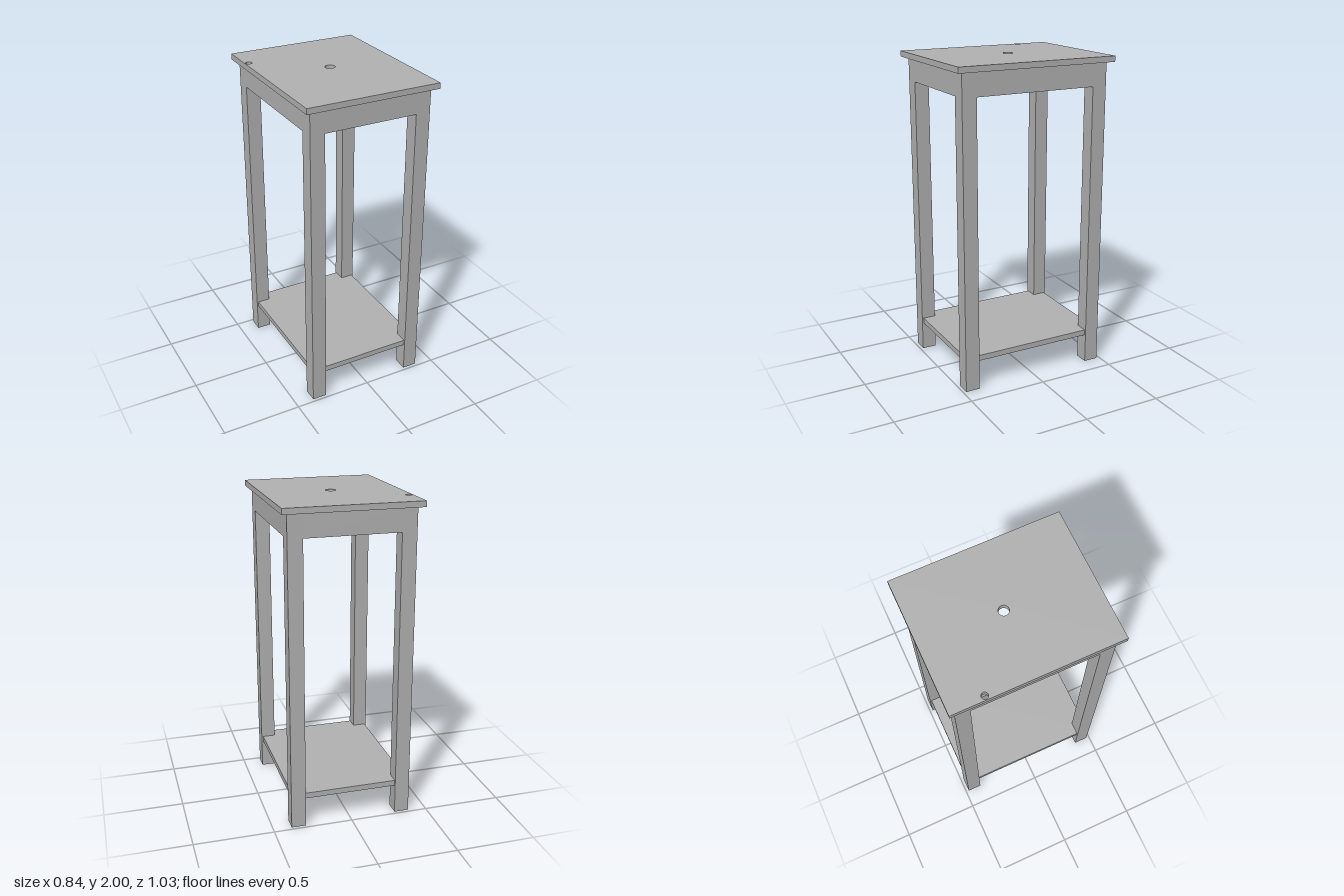
import * as THREE from 'three';

export function createModel() {
  const group = new THREE.Group();
  const grey = new THREE.MeshStandardMaterial({ color: 0xb2b2b2 });
  grey.name = 'plain grey';

  const add = (name, geometry, x, y, z) => {
    const mesh = new THREE.Mesh(geometry, grey);
    mesh.name = name;
    mesh.position.set(x, y, z);
    group.add(mesh);
  };
  // box given by its size and the height of its underside
  const box = (name, w, h, d, x, bottom, z) =>
    add(name, new THREE.BoxGeometry(w, h, d), x, bottom + h / 2, z);

  const topW = 0.842, topD = 1.034, topT = 0.036;
  const underTop = 2 - topT;
  const outX = 0.385, outZ = 0.48, leg = 0.092;
  const apronH = 0.145, apronT = 0.043;

  // table top with a centre hole and a small hole near the edge
  const shape = new THREE.Shape([
    new THREE.Vector2(-topW / 2, -topD / 2),
    new THREE.Vector2(topW / 2, -topD / 2),
    new THREE.Vector2(topW / 2, topD / 2),
    new THREE.Vector2(-topW / 2, topD / 2),
  ]);
  for (const [x, z, r] of [[0, -0.016, 0.031], [-0.395, -0.305, 0.02]]) {
    shape.holes.push(new THREE.Path().absarc(x, -z, r, 0, Math.PI * 2, true));
  }
  const top = new THREE.ExtrudeGeometry(shape, { depth: topT, bevelEnabled: false, curveSegments: 24 });
  top.rotateX(-Math.PI / 2);
  add('tableTop', top, 0, underTop, 0);

  // four square legs
  for (const sx of [-1, 1]) {
    for (const sz of [-1, 1]) {
      const name = (sz > 0 ? 'front' : 'back') + (sx > 0 ? 'Left' : 'Right') + 'Leg';
      box(name, leg, underTop, leg, sx * (outX - leg / 2), 0, sz * (outZ - leg / 2));
    }
  }

  // aprons between the legs, flush with their outer faces
  for (const s of [-1, 1]) {
    box(s > 0 ? 'frontApron' : 'backApron', 2 * (outX - leg), apronH, apronT,
      0, underTop - apronH, s * (outZ - apronT / 2));
    box(s > 0 ? 'leftApron' : 'rightApron', apronT, apronH, 2 * (outZ - leg),
      s * (outX - apronT / 2), underTop - apronH, 0);
  }

  // lower shelf, set just inside the outer faces of the legs
  box('lowerShelf', 2 * (outX - 0.01), 0.036, 2 * (outZ - 0.01), 0, 0.185, 0);

  return group;
}
